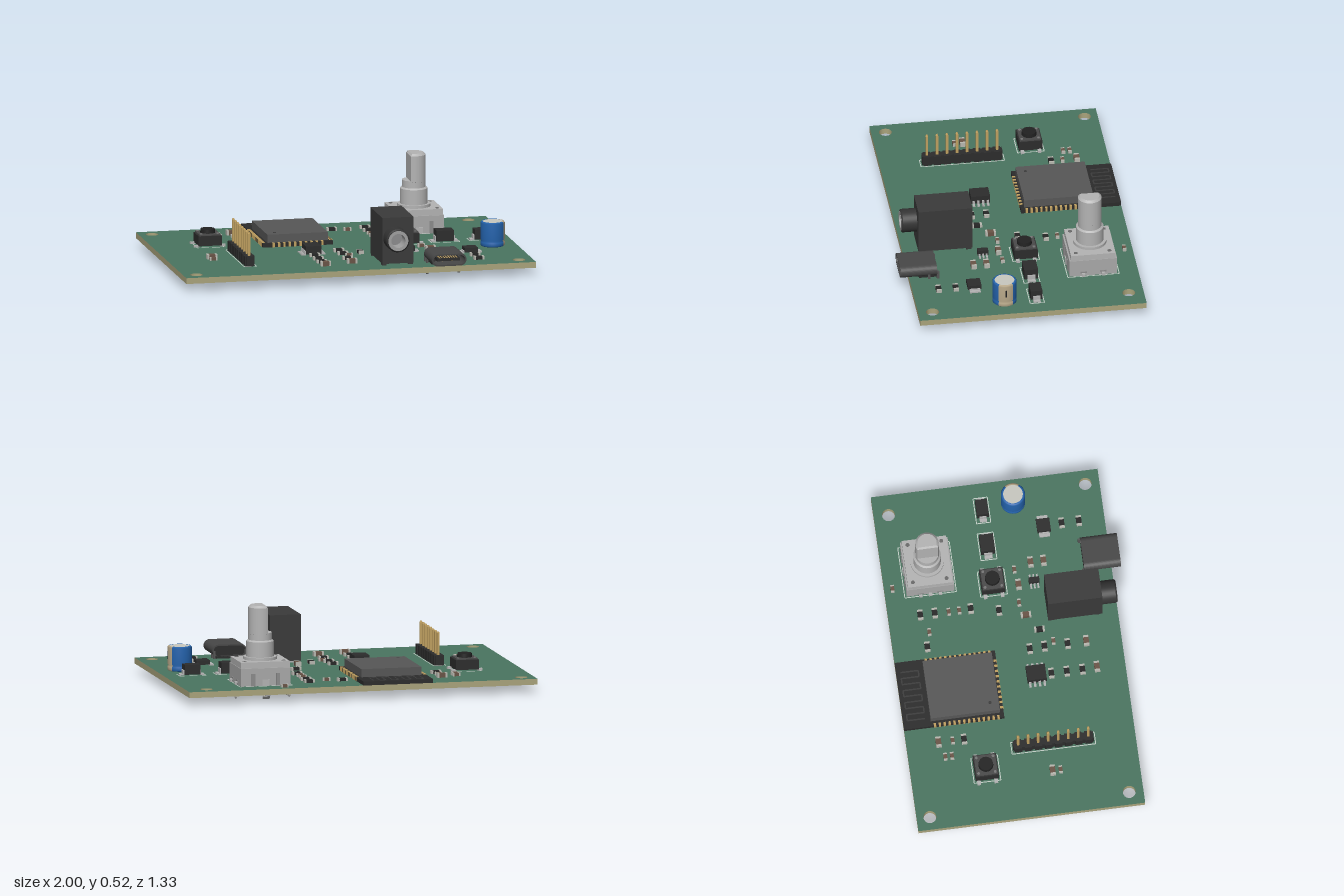
import * as THREE from 'three';

const TOP = 0.078, BOTTOM = 0.045;
const mats = {};
const mat = (c) => (mats[c] ??= new THREE.MeshStandardMaterial({ color: c }));
const BLACK = 0x2c2c2c, DARK = 0x3a3a3a, METAL = 0xb4b4b4, GOLD = 0xc0a060, SILK = 0xc4d0c8;

function add(parent, name, geo, color, x = 0, y = 0, z = 0) {
  const m = new THREE.Mesh(geo, Array.isArray(color) ? color.map(mat) : mat(color));
  m.name = name;
  m.position.set(x, y, z);
  parent.add(m);
  return m;
}
// box standing on height y
const box = (p, name, color, x, y, z, w, h, d) =>
  add(p, name, new THREE.BoxGeometry(w, h, d), color, x, y + h / 2, z);
// upright cylinder standing on height y
const cyl = (p, name, color, x, y, z, r, h, rTop = r, n = 32) =>
  add(p, name, new THREE.CylinderGeometry(rTop, r, h, n), color, x, y + h / 2, z);

function group(parent, name, x = 0, y = 0, z = 0) {
  const g = new THREE.Group();
  g.name = name;
  g.position.set(x, y, z);
  parent.add(g);
  return g;
}

// thin printed rectangle around a part
function outline(p, x, z, w, d) {
  for (const s of [-1, 1]) {
    box(p, 'printedLine', SILK, x, TOP, z + s * d / 2, w, 0.001, 0.005);
    box(p, 'printedLine', SILK, x + s * w / 2, TOP, z, 0.005, 0.001, d);
  }
}

function buildBoard(p) {
  const s = new THREE.Shape();
  s.moveTo(-1, -0.612); s.lineTo(1, -0.612); s.lineTo(1, 0.664); s.lineTo(-1, 0.664); s.closePath();
  for (const [x, z] of [[-0.925, -0.59], [0.882, -0.58], [-0.925, 0.532], [0.92, 0.532]])
    s.holes.push(new THREE.Path().absarc(x, -z, 0.036, 0, Math.PI * 2, true));
  const geo = new THREE.ExtrudeGeometry(s, { depth: TOP - BOTTOM, bevelEnabled: false, curveSegments: 24 });
  geo.rotateX(-Math.PI / 2);
  add(p, 'circuitBoard', geo, [0x4a7560, 0xaaa47c], 0, BOTTOM, 0);
}

function buildModule(p) {
  const g = group(p, 'wirelessModule', -0.2, TOP, 0);
  box(g, 'moduleBoard', 0x2b2b2b, 0, 0, -0.382, 0.4, 0.022, 0.564);
  box(g, 'shield', 0x575757, 0.002, 0.022, -0.316, 0.345, 0.046, 0.39);
  cyl(g, 'shieldMark', 0x3c3c3c, -0.12, 0.068, -0.17, 0.009, 0.001);
  for (let i = 0; i < 14; i++)
    for (const s of [-1, 1]) box(g, 'edgePad', GOLD, s * 0.193, -0.001, -0.49 + i * 0.0275, 0.018, 0.025, 0.013);
  for (let i = 0; i < 10; i++) box(g, 'edgePad', GOLD, -0.14 + i * 0.031, -0.001, -0.107, 0.013, 0.025, 0.018);
  // folded antenna trace
  for (let i = 0; i < 9; i++) {
    box(g, 'antennaTrace', 0x3c3c3c, -0.15 + i * 0.036, 0.022, -0.59, 0.008, 0.002, 0.1);
    if (i < 8) box(g, 'antennaTrace', 0x3c3c3c, -0.132 + i * 0.036, 0.022, i % 2 ? -0.54 : -0.64, 0.036, 0.002, 0.008);
  }
}

function buildButton(p, name, x, z) {
  const g = group(p, name, x, TOP, z);
  box(g, 'body', BLACK, 0, 0.008, 0, 0.132, 0.056, 0.132);
  box(g, 'cover', 0x4a4a4a, 0, 0.064, 0, 0.12, 0.008, 0.12);
  cyl(g, 'plunger', 0x222222, 0, 0.072, 0, 0.042, 0.022, 0.04);
  for (const sx of [-1, 1]) for (const sz of [-1, 1]) {
    box(g, 'lead', METAL, sx * 0.075, 0, sz * 0.048, 0.03, 0.012, 0.02);
    cyl(g, 'rivet', 0x777777, sx * 0.047, 0.072, sz * 0.047, 0.008, 0.004, 0.008, 12);
  }
  outline(p, x, z, 0.15, 0.15);
}

function buildHeader(p) {
  const g = group(p, 'pinHeader', -0.582, 0, 0.15);
  for (let i = 0; i < 8; i++) {
    const z = (i - 3.5) * 0.0565;
    box(g, 'housing', BLACK, 0, TOP, z, 0.042, 0.056, 0.0565);
    box(g, 'housing', BLACK, 0, TOP, z, 0.056, 0.056, 0.04);
    box(g, 'pin', GOLD, 0, 0.024, z, 0.014, 0.234, 0.014);
    for (const [y, a, b] of [[0.258, 0.0099, 0.005], [0.016, 0.005, 0.0099]])
      cyl(g, 'pinTip', GOLD, 0, y, z, a, 0.008, b, 4).rotation.y = Math.PI / 4;
  }
  outline(p, -0.582, 0.15, 0.07, 0.47);
}

function buildEncoder(p) {
  const g = group(p, 'rotaryEncoder', 0.532, 0, -0.41);
  box(g, 'base', 0xa9a9a9, 0, TOP, 0, 0.286, 0.1, 0.268);
  box(g, 'topPlate', METAL, 0, TOP + 0.1, 0, 0.28, 0.034, 0.25);
  cyl(g, 'flange', METAL, 0, 0.212, 0, 0.094, 0.016);
  cyl(g, 'collar', METAL, 0, 0.228, 0, 0.077, 0.086);
  cyl(g, 'collarChamfer', METAL, 0, 0.314, 0, 0.077, 0.008, 0.068);
  cyl(g, 'shaft', METAL, 0, 0.32, 0, 0.066, 0.042);
  // flatted shaft end
  const a = Math.acos(-0.03 / 0.066);
  const d = new THREE.Shape().absarc(0, 0, 0.066, -a, a, false);
  d.closePath();
  const geo = new THREE.ExtrudeGeometry(d, {
    depth: 0.15, curveSegments: 32, bevelThickness: 0.012, bevelSize: 0.012, bevelOffset: -0.012, bevelSegments: 1,
  });
  add(g, 'flattedShaft', geo.rotateX(-Math.PI / 2), METAL, 0, 0.355, 0);
  for (const sx of [-1, 1]) for (const sz of [-1, 1]) {
    cyl(g, 'rivet', 0x6a6a6a, sx * 0.112, 0.211, sz * 0.095, 0.011, 0.003, 0.011, 16);
    box(g, 'sideClip', 0x8c8c8c, sx * 0.144, TOP, sz * 0.055, 0.006, 0.024, 0.02);
    box(g, 'sideClip', 0x8c8c8c, sx * 0.144, TOP + 0.02, sz * 0.055, 0.006, 0.008, 0.036);
    box(g, 'frontClip', 0x8c8c8c, sx * 0.07, TOP, sz * 0.135, 0.022, 0.07, 0.006);
  }
  // bent contact legs: three on the right, two on the left
  const leg = (x, z) => {
    const s = Math.sign(x);
    box(g, 'leg', METAL, x - s * 0.012, TOP + 0.012, z, 0.036, 0.008, 0.018);
    box(g, 'leg', METAL, x, 0.008, z, 0.008, 0.08, 0.018);
    cyl(g, 'legTip', METAL, x, 0, z, 0.003, 0.008, 0.009, 8);
  };
  [-0.056, 0, 0.056].forEach((z) => leg(-0.154, z));
  [-0.056, 0.056].forEach((z) => leg(0.154, z));
  // crimped mounting tabs
  for (const s of [-1, 1]) {
    box(g, 'mountTab', METAL, 0, 0.035, s * 0.135, 0.04, 0.08, 0.008);
    const out = box(g, 'mountTab', METAL, 0, 0.018, s * 0.144, 0.04, 0.028, 0.008);
    out.rotation.x = -s * 0.9;
    const back = box(g, 'mountTab', METAL, 0, 0.006, s * 0.146, 0.04, 0.022, 0.008);
    back.rotation.x = s * 0.7;
  }
  outline(p, 0.532, -0.41, 0.3, 0.29);
}

function buildAudioJack(p) {
  const g = group(p, 'audioJack');
  box(g, 'body', DARK, 0.23, TOP + 0.01, 0.372, 0.178, 0.262, 0.305);
  for (const x of [0.155, 0.305]) for (const z of [0.24, 0.5]) box(g, 'foot', DARK, x, TOP, z, 0.025, 0.012, 0.03);
  const tube = (name, color, pts) => {
    const geo = new THREE.LatheGeometry(pts.map(([r, z]) => new THREE.Vector2(r, z)), 40).rotateX(Math.PI / 2);
    add(g, name, geo, color, 0.212, 0.234, 0.524).material.side = THREE.DoubleSide;
  };
  tube('barrel', 0x343434, [[0.066, 0], [0.066, 0], [0.066, 0.08], [0.066, 0.08], [0.06, 0.088], [0.06, 0.088], [0.05, 0.088]]);
  tube('socketRing', 0xa0a0a0, [[0.057, 0.08], [0.057, 0.089], [0.057, 0.089], [0.04, 0.089], [0.04, 0.089], [0.04, 0.002]]);
  tube('socketEnd', 0x8c8c8d, [[0.04, 0.004], [0, 0.004]]);
  for (const [x, z] of [[0.19, 0.35], [0.235, 0.33], [0.19, 0.29], [0.235, 0.29], [0.19, 0.235], [0.235, 0.245]]) {
    box(g, 'pin', METAL, x, 0.018, z, 0.028, 0.07, 0.012);
    cyl(g, 'pinTip', METAL, x, 0.008, z, 0.005, 0.012, 0.012, 8);
  }
}

function buildUsbPort(p) {
  const g = group(p, 'powerPort', 0.492, 0.123, 0.457);
  const pill = (S, w, r) => {
    const s = new S();
    s.absarc(w - r, 0, r, -Math.PI / 2, Math.PI / 2, false);
    s.absarc(-w + r, 0, r, Math.PI / 2, Math.PI * 1.5, false);
    s.closePath();
    return s;
  };
  const shape = pill(THREE.Shape, 0.098, 0.034);
  shape.holes.push(pill(THREE.Path, 0.09, 0.026));
  add(g, 'shell', new THREE.ExtrudeGeometry(shape, { depth: 0.207, bevelEnabled: false, curveSegments: 16 }), 0x474747);
  add(g, 'backWall', new THREE.ExtrudeGeometry(pill(THREE.Shape, 0.092, 0.03), { depth: 0.04, bevelEnabled: false }), BLACK, 0, 0, 0.002);
  box(g, 'tongue', BLACK, 0, -0.008, 0.11, 0.13, 0.016, 0.16);
  for (let i = 0; i < 8; i++) for (const y of [-0.0095, 0.0075])
    box(g, 'contact', GOLD, -0.049 + i * 0.014, y, 0.14, 0.006, 0.002, 0.09);
  box(g, 'seat', BLACK, 0, -0.045, 0.05, 0.15, 0.02, 0.1);
  for (const s of [-1, 1]) for (const z of [-0.005, 0.045]) box(g, 'shellLeg', 0x555555, s * 0.09, -0.108, z, 0.01, 0.108, 0.014);
}

function buildCapacitor(p) {
  const g = group(p, 'electrolyticCapacitor', 0.863, TOP, 0.118);
  const prof = [[0, 0], [0.062, 0], [0.068, 0.006], [0.068, 0.024], [0.062, 0.031], [0.068, 0.038], [0.068, 0.132], [0.062, 0.139], [0.055, 0.139]];
  // sleeve, with a light stripe on its outer side
  const part = (name, color, from, span) =>
    add(g, name, new THREE.LatheGeometry(prof.map(([r, y]) => new THREE.Vector2(r, y)), 36, from, span), color);
  part('sleeve', 0x2463ad, Math.PI / 2 + 0.65, Math.PI * 2 - 1.3);
  part('stripe', 0xb9a98a, Math.PI / 2 - 0.65, 1.3);
  box(g, 'stripeMark', 0x222222, 0.067, 0.065, 0, 0.005, 0.045, 0.01);
  cyl(g, 'canTop', 0xc8c8c0, 0, 0.13, 0, 0.056, 0.008);
  for (const s of [-1, 1]) cyl(g, 'lead', METAL, 0, -0.06, s * 0.026, 0.006, 0.062, 0.006, 8);
}

// chips and diodes with leads on two sides
function buildChip(p, name, x, z, w, h, d, leads, leadW) {
  const g = group(p, name, x, TOP, z);
  box(g, 'body', BLACK, 0, 0.006, 0, w, h, d);
  for (let i = 0; i < leads; i++) for (const s of [-1, 1]) {
    const lz = (i - (leads - 1) / 2) * (d / leads);
    box(g, 'lead', METAL, s * (w / 2 + 0.012), 0, lz, 0.026, 0.008, leadW);
    box(g, 'lead', METAL, s * (w / 2 + 0.003), 0, lz, 0.008, h * 0.55, leadW);
  }
}

// resistor or capacitor chip with metal end caps
function buildPassive(p, x, z, isCap, big, turned) {
  const g = group(p, isCap ? 'chipCapacitor' : 'chipResistor', x, TOP, z);
  const w = big ? 0.058 : 0.042, d = big ? 0.03 : 0.02, h = isCap ? d * 0.85 : 0.017;
  box(g, 'body', isCap ? 0x6a5446 : 0x262626, 0, 0, 0, w * 0.62, h, d);
  for (const s of [-1, 1]) box(g, 'endCap', 0xb8b8b0, s * w * 0.4, 0, 0, w * 0.2, h + 0.001, d);
  if (turned) g.rotation.y = Math.PI / 2;
}

export function createModel() {
  const model = new THREE.Group();
  model.name = 'circuitBoardAssembly';
  buildBoard(model);
  buildModule(model);
  buildButton(model, 'resetButton', -0.685, -0.243);
  buildButton(model, 'bootButton', 0.405, -0.06);
  buildHeader(model);
  buildEncoder(model);
  buildAudioJack(model);
  buildUsbPort(model);
  buildCapacitor(model);
  buildChip(model, 'diode', 0.625, -0.06, 0.1, 0.06, 0.078, 1, 0.045);
  buildChip(model, 'diode', 0.84, -0.06, 0.09, 0.055, 0.066, 1, 0.04);
  outline(model, 0.625, -0.06, 0.16, 0.09);
  outline(model, 0.84, -0.06, 0.15, 0.08);
  buildChip(model, 'amplifierChip', -0.17, 0.11, 0.088, 0.046, 0.108, 4, 0.013);
  buildChip(model, 'fuse', 0.7, 0.267, 0.076, 0.025, 0.076, 1, 0.06);
  buildChip(model, 'regulator', 0.383, 0.172, 0.032, 0.03, 0.06, 3, 0.01);
  // x, z, capacitor, large, turned
  const resistors = [[-0.495, -0.34], [0.075, -0.47], [0.268, -0.402], [0.268, -0.2], [0.268, -0.484], [0.236, -0.045],
    [-0.012, 0.095], [-0.008, 0.178], [-0.01, 0.308], [-0.172, 0.195], [-0.172, 0.282], [-0.172, 0.37], [0.705, 0.37], [0.705, 0.467]];
  const capsLarge = [[-0.495, -0.484], [-0.008, 0.413], [-0.168, 0.452], [-0.745, 0.125], [0.373, 0.083], [0.496, 0.167], [0.496, 0.24]];
  const capsSmall = [[-0.585, -0.457], [-0.585, -0.42], [-0.495, -0.404], [0.16, -0.447], [0.265, -0.324], [0.265, -0.265],
    [0.442, -0.617], [0.016, 0.232], [-0.745, 0.17], [0.267, 0.072], [0.465, 0.072]];
  resistors.forEach(([x, z]) => buildPassive(model, x, z, false, true));
  capsLarge.forEach(([x, z]) => buildPassive(model, x, z, true, true));
  capsSmall.forEach(([x, z]) => buildPassive(model, x, z, true, false));
  buildPassive(model, 0.096, 0.164, false, true, true);
  buildPassive(model, 0.19, 0.1, true, true, true);
  return model;
}
